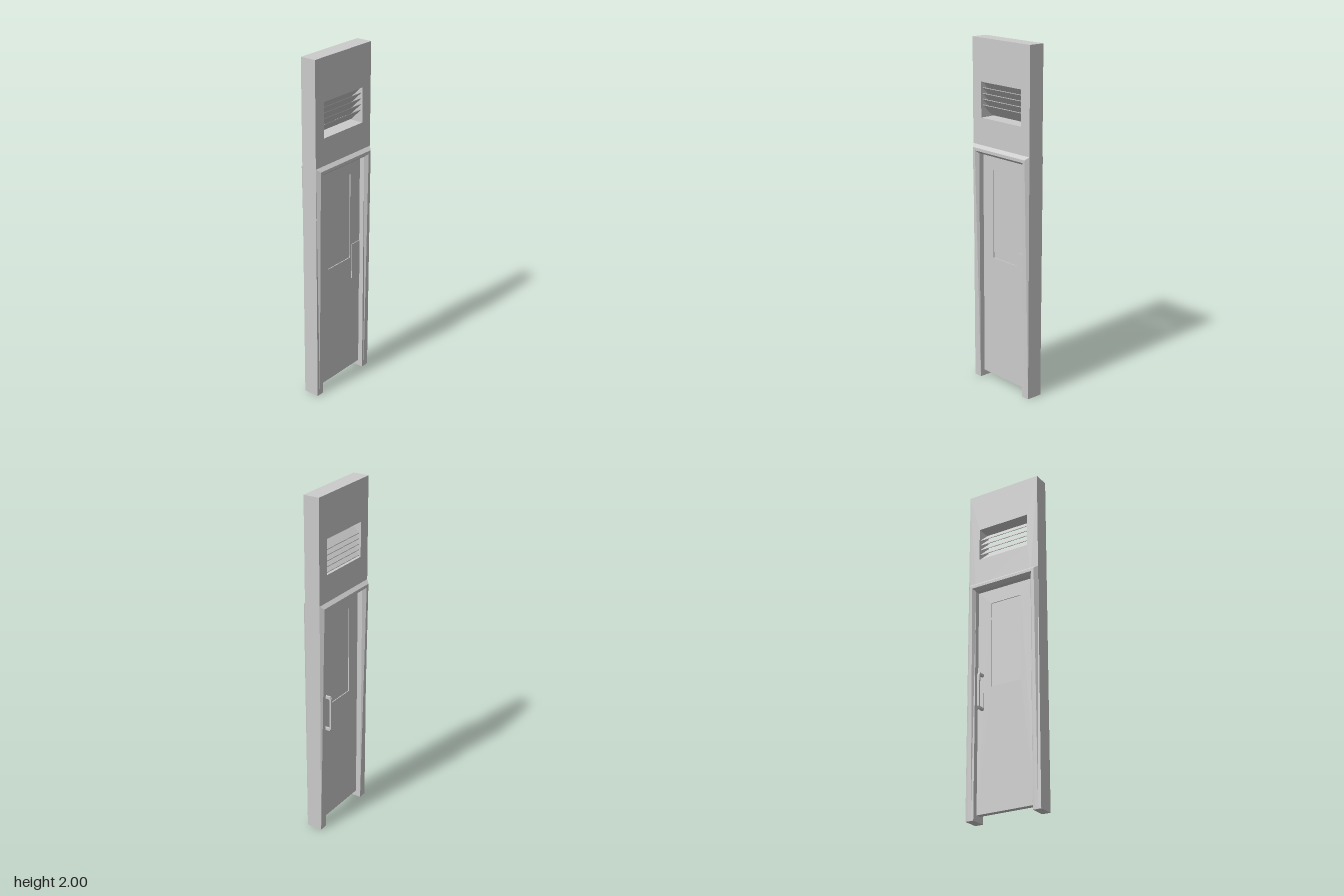
import * as THREE from 'three';

const material = new THREE.MeshStandardMaterial({ color: 0xcccccc, flatShading: true });

const HALF_X = 0.047, HALF_Z = 0.233;      // wall half thickness and half width
const OPEN_Z = 0.183, OPEN_TOP = 1.355;    // doorway
const DOOR_X = 0.017;                      // door half thickness

function outline(points, Type = THREE.Shape) {
  return new Type(points.map(([a, b]) => new THREE.Vector2(a, b)));
}

const rect = (a0, a1, b0, b1) => [[a0, b0], [a1, b0], [a1, b1], [a0, b1]];

// Slab drawn in the z-y plane, centred on x = 0
function slab(points, hole, thickness) {
  const shape = outline(points);
  if (hole) shape.holes.push(outline(hole, THREE.Path));
  const geometry = new THREE.ExtrudeGeometry(shape, { depth: thickness, bevelEnabled: false });
  geometry.translate(0, 0, -thickness / 2);
  geometry.rotateY(-Math.PI / 2);
  return geometry;
}

// Mitred trim around the doorway; its raised face thins out towards the floor
function trimGeometry(side) {
  const section = [                        // [z offset, top height, raised amount]
    [HALF_Z, 1.405, 0], [0.215, 1.388, 1], [0.198, 1.371, 1], [OPEN_Z, OPEN_TOP, 0],
  ];
  const positions = [], indices = [];
  for (const [z, top, raised] of section) {
    for (const [pz, py] of [[z, 0], [z, top], [-z, top], [-z, 0]]) {
      const rise = 0.001 + 0.019 * (py / 1.405);
      positions.push(side * (HALF_X + raised * rise), py, pz);
    }
  }
  for (let i = 0; i < 3; i++) {
    for (let j = 0; j < 3; j++) {
      const a = i * 4 + j, b = a + 1, c = a + 4, d = a + 5;
      if (side > 0) indices.push(a, c, b, b, c, d);
      else indices.push(a, b, c, b, d, c);
    }
  }
  const geometry = new THREE.BufferGeometry();
  geometry.setAttribute('position', new THREE.Float32BufferAttribute(positions, 3));
  geometry.setIndex(indices);
  const flat = geometry.toNonIndexed();
  flat.computeVertexNormals();
  return flat;
}

export function createModel() {
  const group = new THREE.Group();
  const add = (name, geometry, mat = material) => {
    const mesh = new THREE.Mesh(geometry, mat);
    mesh.name = name;
    group.add(mesh);
    return mesh;
  };

  // Wall panel with doorway notch and vent opening
  add('wallPanel', slab([
    [-HALF_Z, 0], [-OPEN_Z, 0], [-OPEN_Z, OPEN_TOP], [OPEN_Z, OPEN_TOP],
    [OPEN_Z, 0], [HALF_Z, 0], [HALF_Z, 2], [-HALF_Z, 2],
  ], rect(-0.163, 0.163, 1.56, 1.76), HALF_X * 2));

  // Door trim on both faces
  const trimMaterial = material.clone();
  trimMaterial.side = THREE.DoubleSide;
  for (const side of [1, -1]) {
    add(side > 0 ? 'rightDoorTrim' : 'leftDoorTrim', trimGeometry(side), trimMaterial);
  }

  // Door leaf with a slightly recessed window
  const pane = rect(-0.098, 0.098, 0.755, 1.27);
  add('doorLeaf', slab(rect(-OPEN_Z, OPEN_Z, 0.035, OPEN_TOP), pane, DOOR_X * 2));
  add('windowPane', slab(pane, null, DOOR_X * 2 - 0.01));

  // Push plate on one face
  const plate = add('pushPlate', new THREE.BoxGeometry(0.004, 0.216, 0.072));
  plate.position.set(DOOR_X + 0.002, 0.728, -0.147);

  // Pull handle on the other face
  const grip = outline([
    [-DOOR_X, 0.622], [-DOOR_X, 0.836], [-0.056, 0.836], [-0.065, 0.822], [-0.065, 0.636], [-0.056, 0.622],
  ]);
  grip.holes.push(outline([
    [-DOOR_X, 0.636], [-0.051, 0.636], [-0.055, 0.643], [-0.055, 0.815], [-0.051, 0.822], [-DOOR_X - 0.002, 0.822], [-DOOR_X - 0.002, 0.636],
  ].slice(1), THREE.Path));
  const handle = add('pullHandle', new THREE.ExtrudeGeometry(grip, { depth: 0.014, bevelEnabled: false }));
  handle.position.z = -0.157;

  // Sloping vent slats
  for (let i = 0; i < 5; i++) {
    const top = 1.76 - i * 0.032;
    const section = outline([
      [-0.035, top - 0.068], [-0.031, top - 0.068], [0.035, top - 0.004], [0.035, top], [-0.035, top - 0.064],
    ]);
    const slat = add(`ventSlat${i + 1}`, new THREE.ExtrudeGeometry(section, { depth: 0.326, bevelEnabled: false }));
    slat.position.z = -0.163;
  }

  return group;
}
